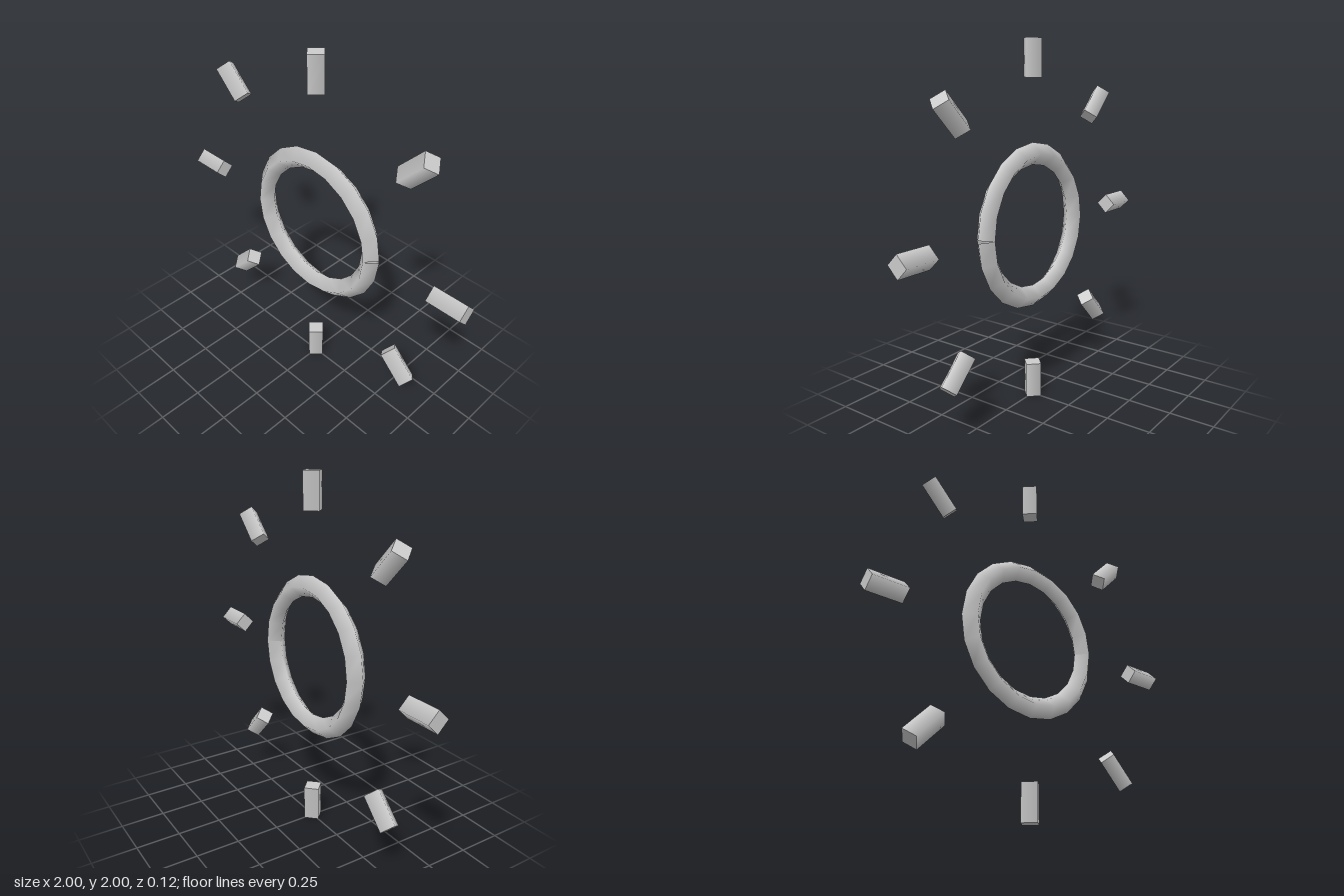
import * as THREE from 'three';

const CENTER_Y = 1;
const THICKNESS = 0.06;

export function createModel() {
  const model = new THREE.Group();
  model.name = 'sun';
  const grey = new THREE.MeshStandardMaterial({ color: 0xcccccc, side: THREE.DoubleSide });
  grey.name = 'light grey';

  // Ring: an open path whose ends meet at +x, leaving a small wedge-shaped seam
  const points = [];
  const steps = 24;
  for (let i = 0; i <= steps; i++) {
    const a = (i / steps) * Math.PI * 2;
    points.push(new THREE.Vector3(Math.cos(a) * 0.4, Math.sin(a) * 0.4, 0));
  }
  const path = new THREE.CatmullRomCurve3(points);
  const ring = new THREE.Mesh(new THREE.TubeGeometry(path, 20, THICKNESS, 4), grey);
  ring.name = 'ring';
  ring.position.y = CENTER_Y;
  model.add(ring);

  // Eight four-sided rays, softly shaded around their sides
  const rayGeometry = new THREE.CylinderGeometry(THICKNESS, THICKNESS, 0.2, 4);
  for (let i = 0; i < 8; i++) {
    const a = (i / 8) * Math.PI * 2;
    const ray = new THREE.Mesh(rayGeometry, grey);
    ray.name = `ray${i + 1}`;
    ray.position.set(Math.cos(a) * 0.9, CENTER_Y + Math.sin(a) * 0.9, 0);
    ray.rotation.z = a - Math.PI / 2;
    model.add(ray);
  }
  return model;
}
